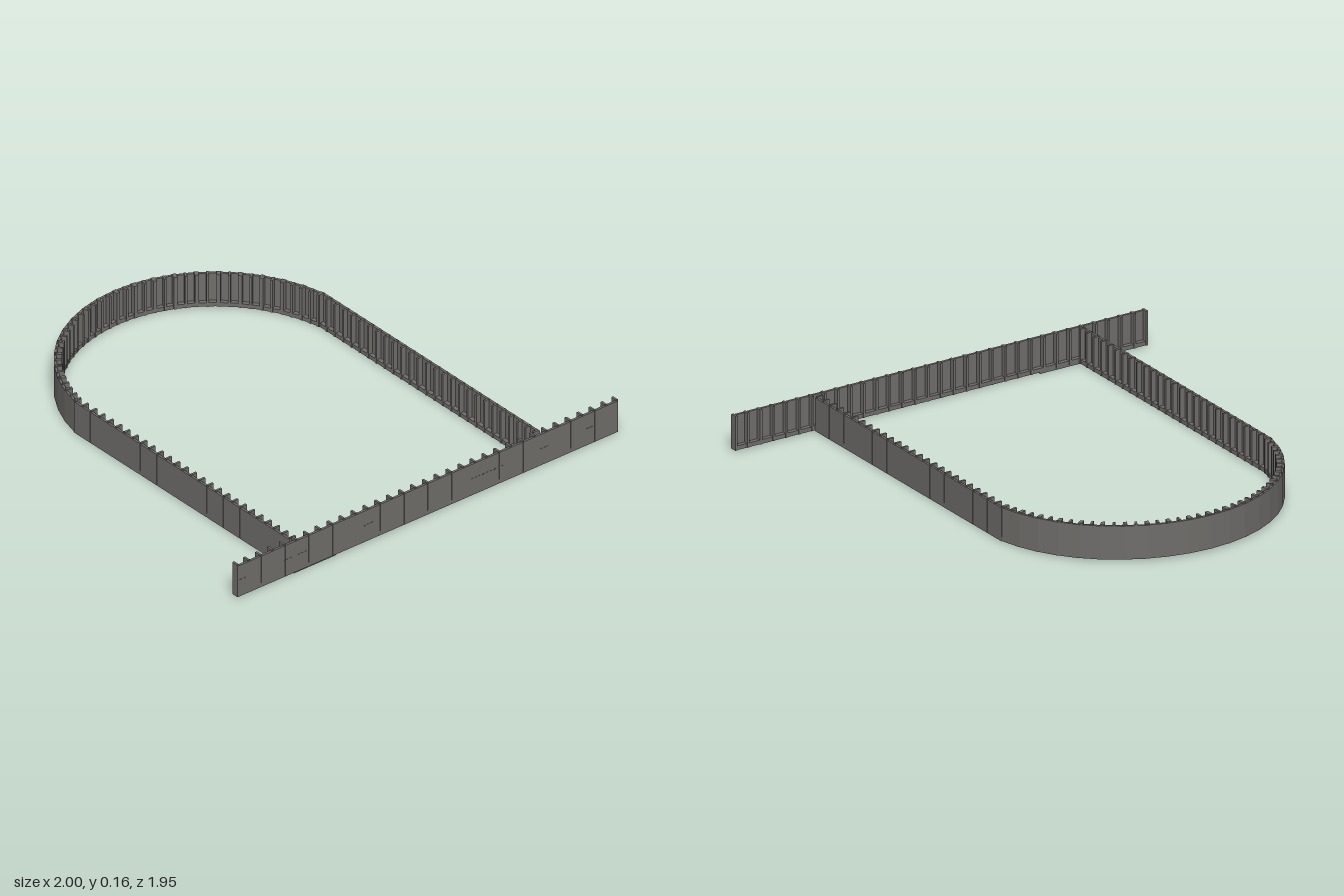
import * as THREE from 'three';

const wallGray = new THREE.MeshStandardMaterial({ color: 0x6f6d6a });

const HEIGHT = 0.147;  // panel height
const DEPTH = 0.03;    // ledge depth behind the outer face
const PANEL = 0.011;   // panel thickness

function box(name, w, h, d, x, y, z, parent) {
  const mesh = new THREE.Mesh(new THREE.BoxGeometry(w, h, d), wallGray);
  mesh.name = name;
  mesh.position.set(x, y, z);
  parent.add(mesh);
  return mesh;
}

// Straight wall along local x, outer face at z = 0 looking to +z, ribs behind
function wall(name, length, panels, gap = 0.002) {
  const group = new THREE.Group();
  group.name = name;
  const step = length / panels;
  box('baseLedge', length, 0.018, DEPTH - 0.001, 0, 0.009, -DEPTH / 2 - 0.0005, group);
  for (let i = 0; i < panels; i++) {
    const x = -length / 2 + (i + 0.5) * step;
    box('panel', step - gap, HEIGHT, PANEL, x, HEIGHT / 2, -PANEL / 2, group);
  }
  // Upright ribs at every joint and panel middle, standing just above the panels
  for (let i = 0; i <= panels * 2; i++) {
    const x = THREE.MathUtils.clamp(-length / 2 + i * step / 2, -length / 2 + 0.005, length / 2 - 0.005);
    box('rib', 0.01, HEIGHT + 0.005, DEPTH + 0.003 - 0.004, x, (HEIGHT + 0.005) / 2, -(DEPTH + 0.007) / 2, group);
  }
  return group;
}

export function createModel() {
  const model = new THREE.Group();
  model.name = 'walledEnclosure';

  // Long front wall with small slots on its outer face
  const front = wall('frontWall', 2, 16);
  front.position.set(0, 0.007, 0.974);
  for (const x of [-0.97, -0.73, -0.66, -0.31, 0.25, 0.31, 0.37, 0.61, 0.85]) {
    box('slotPlate', 0.045, 0.005, 0.002, x, 0.077, 0, front);
  }
  model.add(front);

  // Two straight side walls
  const zBack = -0.43, zFront = 0.945;
  for (const [name, x, turn] of [['leftWall', 0.612, 1], ['rightWall', -0.702, -1]]) {
    const side = wall(name, zFront - zBack, 13);
    side.rotation.y = turn * Math.PI / 2;
    side.position.set(x, 0.003, (zFront + zBack) / 2);
    model.add(side);
  }

  // Curved back wall made of short straight sections, rising slightly to the rear
  const curve = new THREE.Group();
  curve.name = 'curvedWall';
  const cx = -0.045, cz = -0.31, radius = 0.665;
  const start = Math.asin((cz - zBack) / radius);
  const count = 20;
  const step = (Math.PI - 2 * start) / count;
  for (let i = 0; i < count; i++) {
    const a = start + (i + 0.5) * step;
    const section = wall('curvedSection', 2 * radius * Math.sin(step / 2), 1, 0);
    const r = radius * Math.cos(step / 2);
    section.position.set(cx + r * Math.cos(a), 0.003 + 0.008 * Math.sin(a) ** 2, cz - r * Math.sin(a));
    section.rotation.y = Math.PI / 2 + a;
    curve.add(section);
  }
  model.add(curve);

  // Low footing strip under the right corner of the front wall
  box('footing', 0.22, 0.008, 0.025, -0.59, 0.004, 0.957, model);
  return model;
}
